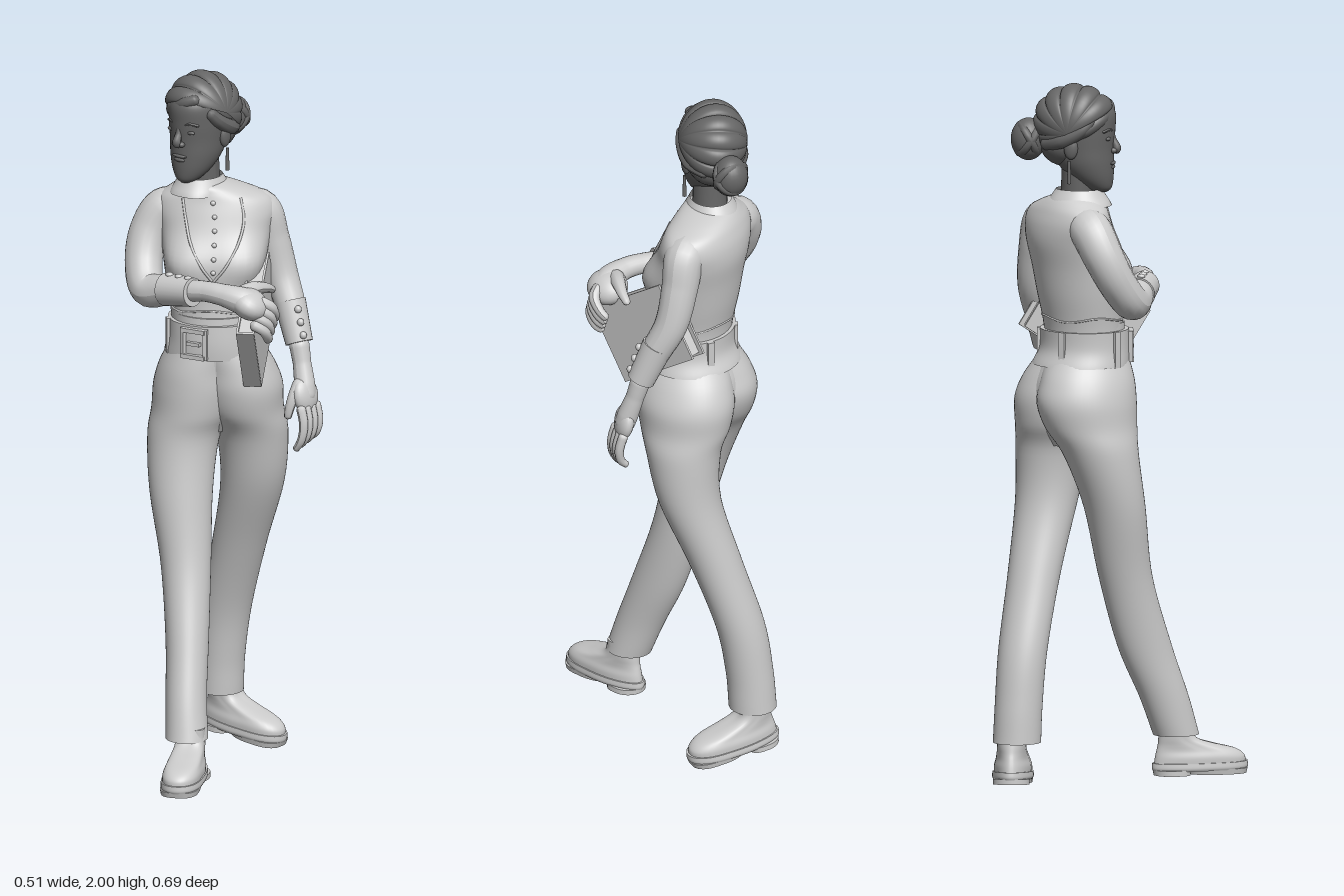
import * as THREE from 'three';

const V = (p) => new THREE.Vector3(...p);
const grey = new THREE.MeshStandardMaterial({ color: 0xcccccc, side: THREE.DoubleSide });
const dark = new THREE.MeshStandardMaterial({ color: 0x666666, side: THREE.DoubleSide });
const BODY_YAW = 0.66;

function add(parent, name, geometry, mat = grey) {
  const m = new THREE.Mesh(geometry, mat);
  m.name = name;
  parent.add(m);
  return m;
}

// Smooth stack of horizontal ellipses; each ring is [y, x, z, halfWidth, halfDepth]
function stack(rings, yaw = 0, bump = () => 0) {
  const c = new THREE.CatmullRomCurve3(rings.map((r) => V([r[1], r[0], r[2]])), false, 'catmullrom');
  const s = new THREE.CatmullRomCurve3(rings.map((r) => V([r[3], r[4], 0])), false, 'catmullrom');
  const left = V([Math.cos(yaw), 0, -Math.sin(yaw)]), front = V([Math.sin(yaw), 0, Math.cos(yaw)]);
  const at = (t, ang, off = 0, k = 1) => {
    const p = c.getPoint(t), r = s.getPoint(t), o = off + bump(p.y, ang);
    return p.addScaledVector(left, k * (r.x + o) * Math.cos(ang)).addScaledVector(front, k * (r.y + o) * Math.sin(ang));
  };
  const tOf = (y) => {
    let lo = 0, hi = 1;
    for (let i = 0; i < 24; i++) {
      const m = (lo + hi) / 2;
      if (c.getPoint(m).y < y) lo = m; else hi = m;
    }
    return lo;
  };
  const geometry = (y0 = -9, y1 = 9, off = 0, caps = true, seg = 48) => {
    const a = tOf(y0), b = tOf(y1), n = rings.length * 5, rows = [];
    if (caps) rows.push([a, 0], [a, 1]);
    for (let i = 0; i <= n; i++) rows.push([a + (b - a) * i / n, 1]);
    if (caps) rows.push([b, 1], [b, 0]);
    const pos = [], idx = [];
    rows.forEach(([t, k], i) => {
      for (let j = 0; j < seg; j++) {
        pos.push(...at(t, j / seg * Math.PI * 2, off, k).toArray());
        if (i === rows.length - 1) continue;
        const p = i * seg + j, q = i * seg + (j + 1) % seg;
        idx.push(p, p + seg, q, q, p + seg, q + seg);
      }
    });
    const g = new THREE.BufferGeometry();
    g.setAttribute('position', new THREE.Float32BufferAttribute(pos, 3));
    g.setIndex(idx);
    g.computeVertexNormals();
    return g;
  };
  return { geometry, on: (y, ang, off) => at(tOf(y), ang, off) };
}

// Tube of changing radius with rounded ends; each point is [x, y, z, radius]
function limb(points, radial = 20, steps = 8) {
  const path = new THREE.CatmullRomCurve3(points.map((p) => V(p.slice(0, 3))));
  const seg = points.length * steps, g = new THREE.TubeGeometry(path, seg, 1, radial), p = g.attributes.position;
  const len = path.getLength(), v = new THREE.Vector3();
  for (let i = 0; i <= seg; i++) {
    const u = i / seg, f = path.getUtoTmapping(u) * (points.length - 1);
    const k = Math.min(Math.floor(f), points.length - 2);
    let r = THREE.MathUtils.lerp(points[k][3], points[k + 1][3], f - k);
    const d = Math.min(Math.min(u, 1 - u) * len / (r * 0.9), 1);
    r *= Math.sqrt(Math.max(1 - (1 - d) ** 2, 0.0001));
    const o = path.getPointAt(u);
    for (let j = 0; j <= radial; j++) {
      const n = i * (radial + 1) + j;
      v.fromBufferAttribute(p, n).sub(o).multiplyScalar(r).add(o);
      p.setXYZ(n, v.x, v.y, v.z);
    }
  }
  g.computeVertexNormals();
  return g;
}
const tube = (pts, r) => new THREE.TubeGeometry(new THREE.CatmullRomCurve3(pts), 40, r, 6);

function ball(parent, name, p, s, mat = grey) {
  const m = add(parent, name, new THREE.SphereGeometry(1, 24, 16), mat);
  m.position.set(...p);
  m.scale.set(...s);
  return m;
}

// Cylinder between two points
function rod(parent, name, a, b, r0, r1, mat = grey) {
  const d = V(b).sub(V(a)), m = add(parent, name, new THREE.CylinderGeometry(r1, r0, d.length(), 24), mat);
  m.position.copy(V(a).addScaledVector(d, 0.5));
  m.quaternion.setFromUnitVectors(V([0, 1, 0]), d.normalize());
  return m;
}

function shoe(parent, name, p, yaw, pitch) {
  const g = new THREE.Group();
  g.name = name;
  // Broad round toe, narrower heel
  const outline = (y, a) => (Math.sin(a) > 0 ? 0.01 * Math.sin(2 * a) ** 2 : 0.006 * Math.sin(a));
  const layer = (part, rings) => add(g, part, stack(rings, 0, outline).geometry(-9, 9, 0, true, 48));
  layer('sole', [[0.012, 0, 0, 0.054, 0.14], [0.02, 0, 0, 0.057, 0.143], [0.034, 0, 0, 0.056, 0.142]]);
  layer('foreSole', [[0, 0, 0.05, 0.051, 0.086], [0.015, 0, 0.05, 0.054, 0.09]]);
  layer('heel', [[0, 0, -0.085, 0.05, 0.052], [0.015, 0, -0.085, 0.05, 0.053]]);
  layer('upper', [[0.03, 0, 0, 0.052, 0.137], [0.05, 0, -0.001, 0.052, 0.133], [0.068, 0, -0.012, 0.047, 0.118],
    [0.084, 0, -0.04, 0.043, 0.086], [0.1, 0, -0.064, 0.04, 0.06], [0.12, 0, -0.074, 0.039, 0.048], [0.15, 0, -0.075, 0.039, 0.046]]);
  g.position.set(...p);
  g.rotation.set(pitch, yaw, 0, 'YXZ');
  parent.add(g);
}

export function createModel() {
  const model = new THREE.Group();
  const gauss = (d, w) => Math.exp(-((d / w) ** 2));
  const pair = (a, mid, spread) => gauss(a - mid - spread, 0.5) + gauss(a - mid + spread, 0.5);

  // Trousers: each leg runs up to the belt and forms its half of the hips
  const hips = stack([[0.97, -0.033, -0.113, 0.03, 0.07], [1.03, -0.033, -0.113, 0.07, 0.106], [1.1, -0.033, -0.113, 0.13, 0.125],
    [1.15, -0.032, -0.11, 0.145, 0.126], [1.2, -0.027, -0.1, 0.134, 0.121], [1.25, -0.022, -0.09, 0.122, 0.112],
    [1.32, -0.025, -0.09, 0.12, 0.11]], BODY_YAW);
  add(model, 'trouserHips', hips.geometry());
  add(model, 'rightTrouserLeg', stack([[0.14, 0.077, 0.155, 0.06, 0.066], [0.25, 0.05, 0.125, 0.058, 0.072], [0.4, 0.012, 0.075, 0.061, 0.08],
    [0.6, -0.032, 0.028, 0.071, 0.077], [0.8, -0.07, 0.003, 0.089, 0.086], [0.95, -0.09, -0.032, 0.102, 0.107],
    [1.03, -0.083, -0.062, 0.115, 0.134], [1.1, -0.079, -0.075, 0.121, 0.146], [1.16, -0.07, -0.074, 0.111, 0.138],
    [1.22, -0.049, -0.077, 0.1, 0.12], [1.27, -0.038, -0.078, 0.085, 0.1]], BODY_YAW).geometry());
  add(model, 'leftTrouserLeg', stack([[0.14, -0.148, -0.262, 0.066, 0.068], [0.25, -0.14, -0.258, 0.067, 0.067], [0.4, -0.115, -0.25, 0.072, 0.068],
    [0.6, -0.05, -0.229, 0.077, 0.073], [0.8, 0.018, -0.204, 0.09, 0.087], [0.95, 0.031, -0.186, 0.102, 0.107],
    [1.03, 0.018, -0.162, 0.115, 0.134], [1.1, 0.014, -0.152, 0.121, 0.146], [1.16, 0.009, -0.138, 0.111, 0.138],
    [1.22, -0.001, -0.113, 0.1, 0.12], [1.27, -0.006, -0.1, 0.085, 0.1]], BODY_YAW).geometry());
  shoe(model, 'rightShoe', [0.122, 0.024, 0.212], 0.47, 0);
  shoe(model, 'leftShoe', [-0.088, 0.015, -0.284], 1.67, 0.1);

  // Belt with buckle and loops
  add(model, 'belt', hips.geometry(1.2, 1.3, 0.012));
  const onBelt = (name, ang, size) => {
    const p = hips.on(1.25, ang, 0.013), m = add(model, name, new THREE.BoxGeometry(...size));
    m.position.copy(p);
    m.rotation.y = Math.atan2(p.x + 0.022, p.z + 0.09);
    return m;
  };
  for (const dy of [-0.038, 0.038]) onBelt('buckleBar', 2.0, [0.072, 0.012, 0.022]).position.y += dy;
  for (const da of [-0.25, 0.25]) onBelt('buckleSide', 2.0 + da, [0.012, 0.088, 0.022]);
  onBelt('bucklePin', 2.0, [0.04, 0.01, 0.022]);
  for (const a of [0.6, 2.9, 4.2, 5.2]) onBelt('beltLoop', a, [0.02, 0.102, 0.012]);

  // Blouse and waistcoat
  const torso = stack([[1.26, -0.024, -0.09, 0.12, 0.108], [1.32, -0.03, -0.093, 0.122, 0.108], [1.4, -0.037, -0.102, 0.134, 0.113],
    [1.48, -0.042, -0.112, 0.146, 0.115], [1.55, -0.05, -0.125, 0.158, 0.112], [1.6, -0.054, -0.13, 0.168, 0.104],
    [1.638, -0.058, -0.128, 0.156, 0.092], [1.662, -0.066, -0.118, 0.115, 0.082], [1.68, -0.074, -0.105, 0.075, 0.07], [1.69, -0.077, -0.1, 0.05, 0.05]],
  BODY_YAW, (y, a) => 0.036 * gauss(y - 1.47, 0.07) * pair(a, Math.PI / 2, 0.6));
  add(model, 'blouse', torso.geometry());
  const mid = Math.PI / 2;
  for (const s of [-1, 1]) {
    add(model, 'waistcoatEdge', tube([[1.65, 0.62], [1.59, 0.5], [1.53, 0.4], [1.47, 0.2], [1.43, 0.02]]
      .map(([y, d]) => torso.on(y, mid + s * d, 0)), 0.004));
  }
  const hem = [];
  for (let i = 0; i <= 24; i++) hem.push(torso.on(1.335 + 0.006 * Math.cos(i), i / 24 * Math.PI * 2, 0));
  add(model, 'waistcoatHem', tube(hem, 0.003));
  for (let i = 0; i < 6; i++) ball(model, 'blouseButton', torso.on(1.64 - i * 0.037, mid, 0.002).toArray(), [0.007, 0.007, 0.007]);
  add(model, 'collar', stack([[1.655, -0.081, -0.098, 0.078, 0.088], [1.672, -0.081, -0.098, 0.073, 0.083], [1.702, -0.08, -0.096, 0.058, 0.065]],
    0, (y, a) => 0.008 * gauss(y - 1.65, 0.02) * pair(a, mid, 0.5)).geometry(-9, 9, 0, false));

  // Right arm folded across the body
  add(model, 'rightSleeve', limb([[-0.1, 1.6, -0.1, 0.048], [-0.172, 1.594, -0.05, 0.06], [-0.198, 1.53, -0.012, 0.057], [-0.186, 1.45, 0.028, 0.053],
    [-0.14, 1.39, 0.063, 0.05], [-0.06, 1.405, 0.07, 0.043], [0.02, 1.414, 0.073, 0.037]]));
  rod(model, 'rightCuff', [-0.07, 1.404, 0.07], [0.033, 1.416, 0.074], 0.047, 0.041);
  for (let i = 0; i < 3; i++) ball(model, 'rightCuffButton', [-0.052 + i * 0.034, 1.452 + i * 0.001, 0.076], [0.011, 0.007, 0.011]);
  add(model, 'rightWrist', limb([[0, 1.414, 0.072, 0.032], [0.07, 1.424, 0.065, 0.029], [0.125, 1.422, 0.055, 0.031], [0.175, 1.41, 0.034, 0.039], [0.212, 1.39, 0, 0.038]]));
  ball(model, 'rightPalm', [0.188, 1.398, 0.014], [0.056, 0.042, 0.062]).rotation.set(0, 0.5, -0.5);
  for (let i = 0; i < 4; i++) {
    add(model, 'rightFinger', limb([[0.212, 1.412 - 0.02 * i, 0.008 + 0.01 * i, 0.017], [0.238, 1.392 - 0.021 * i, -0.018 + 0.01 * i, 0.0155],
      [0.232, 1.362 - 0.021 * i, -0.045 + 0.01 * i, 0.0135], [0.213, 1.338 - 0.017 * i, -0.064 + 0.01 * i, 0.011]], 10, 5));
  }
  add(model, 'rightThumb', limb([[0.16, 1.42, 0.03, 0.026], [0.17, 1.43, -0.03, 0.02], [0.174, 1.422, -0.075, 0.015], [0.17, 1.405, -0.115, 0.01]], 10, 5));

  // Left arm hanging
  add(model, 'leftSleeve', limb([[-0.02, 1.6, -0.165, 0.048], [0.035, 1.594, -0.213, 0.058], [0.058, 1.51, -0.236, 0.052], [0.088, 1.4, -0.248, 0.047],
    [0.138, 1.3, -0.236, 0.042], [0.17, 1.22, -0.226, 0.036]]));
  rod(model, 'leftCuff', [0.124, 1.335, -0.24], [0.17, 1.225, -0.226], 0.045, 0.039);
  for (let i = 0; i < 3; i++) ball(model, 'leftCuffButton', [0.173 + i * 0.012, 1.325 - i * 0.035, -0.217 + i * 0.003], [0.01, 0.011, 0.01]);
  add(model, 'leftWrist', limb([[0.165, 1.24, -0.227, 0.03], [0.185, 1.17, -0.22, 0.026], [0.203, 1.11, -0.21, 0.03], [0.215, 1.06, -0.2, 0.028]]));
  ball(model, 'leftPalm', [0.212, 1.085, -0.203], [0.024, 0.052, 0.046]).rotation.z = 0.2;
  for (let i = 0; i < 4; i++) {
    const z = -0.168 - 0.022 * i;
    add(model, 'leftFinger', limb([[0.222, 1.065, z, 0.014], [0.236, 1.01, z + 0.002, 0.013], [0.23, 0.965 + 0.004 * i, z + 0.006, 0.012],
      [0.208, 0.93 + 0.008 * i, z + 0.008, 0.009]], 10, 5));
  }
  add(model, 'leftThumb', limb([[0.2, 1.13, -0.2, 0.02], [0.198, 1.085, -0.167, 0.016], [0.193, 1.05, -0.155, 0.013], [0.188, 1.02, -0.152, 0.01]], 10, 5));

  // Binder held against the left side
  const binder = new THREE.Group();
  binder.name = 'binder';
  const u = V([-0.415, 0.55, -0.72]).normalize(), d = V([-0.275, -0.83, -0.475]).normalize();
  const n = u.clone().cross(d).normalize();
  binder.quaternion.setFromRotationMatrix(new THREE.Matrix4().makeBasis(u, n.clone().cross(u), n));
  binder.position.set(0.11, 1.31, -0.11);
  for (const s of [-1, 1]) add(binder, 'binderCover', new THREE.BoxGeometry(0.3, 0.23, 0.006)).position.z = s * 0.023;
  add(binder, 'binderPages', new THREE.BoxGeometry(0.28, 0.215, 0.042)).position.x = -0.004;
  add(binder, 'binderSpine', new THREE.BoxGeometry(0.008, 0.23, 0.05)).position.x = -0.148;
  model.add(binder);

  // Head and face
  add(model, 'neck', limb([[-0.075, 1.6, -0.11, 0.052], [-0.077, 1.69, -0.1, 0.049], [-0.08, 1.8, -0.095, 0.049]]), dark);
  add(model, 'face', stack([[1.694, -0.08, -0.032, 0.014, 0.016], [1.706, -0.08, -0.042, 0.034, 0.038], [1.735, -0.08, -0.06, 0.055, 0.061],
    [1.775, -0.08, -0.078, 0.07, 0.08], [1.82, -0.08, -0.088, 0.076, 0.09], [1.87, -0.08, -0.096, 0.081, 0.102],
    [1.92, -0.08, -0.1, 0.08, 0.106], [1.96, -0.08, -0.1, 0.06, 0.08]]).geometry(), dark);
  add(model, 'nose', limb([[-0.08, 1.862, -0.005, 0.008], [-0.08, 1.84, 0.001, 0.01], [-0.08, 1.817, 0.01, 0.013], [-0.08, 1.806, 0, 0.012]], 12), dark);
  for (const s of [-1, 1]) ball(model, 'nostril', [-0.08 + s * 0.012, 1.812, 0.003], [0.009, 0.008, 0.01], dark);
  ball(model, 'upperLip', [-0.08, 1.776, -0.003], [0.025, 0.006, 0.01], dark);
  ball(model, 'lowerLip', [-0.08, 1.765, -0.004], [0.02, 0.007, 0.01], dark);
  for (const s of [-1, 1]) {
    const x = -0.08 + s * 0.034;
    ball(model, 'eye', [x, 1.848, -0.009], [0.014, 0.006, 0.007], dark);
    add(model, 'eyebrow', limb([[-0.08 + s * 0.016, 1.868, 0, 0.004], [x, 1.874, -0.006, 0.005], [-0.08 + s * 0.056, 1.868, -0.021, 0.004]], 8), dark);
    ball(model, 'ear', [-0.08 + s * 0.078, 1.825, -0.108], [0.012, 0.032, 0.02], dark);
    rod(model, 'earring', [-0.08 + s * 0.083, 1.725, -0.112], [-0.08 + s * 0.083, 1.79, -0.112], 0.006, 0.004, dark);
  }

  // Hair in rolled locks running over the crown, with a swept fringe and a bun
  const locks = new THREE.SphereGeometry(1, 112, 24, 2.0, 3.4);
  const pos = locks.attributes.position, uv = locks.attributes.uv;
  locks.rotateZ(Math.PI / 2);
  for (let i = 0; i < pos.count; i++) {
    const f = 0.9 + 0.1 * Math.sqrt(Math.abs(Math.sin(uv.getX(i) * Math.PI * 7)));
    pos.setXYZ(i, pos.getX(i) * 0.098, pos.getY(i) * f * 0.117, pos.getZ(i) * f * 0.124);
  }
  locks.computeVertexNormals();
  const hair = add(model, 'hair', locks, dark);
  hair.position.set(-0.081, 1.883, -0.105);
  hair.rotation.set(0, -0.12, 0.16);
  add(model, 'fringe', limb([[-0.03, 1.945, -0.03, 0.014], [-0.07, 1.93, -0.015, 0.019], [-0.122, 1.905, -0.03, 0.021],
    [-0.15, 1.878, -0.065, 0.02], [-0.156, 1.855, -0.11, 0.017]], 12), dark);
  ball(model, 'napeHair', [-0.08, 1.83, -0.135], [0.078, 0.065, 0.072], dark);
  for (const s of [-1, 1]) {
    add(model, 'sideLock', limb([[-0.08 + s * 0.066, 1.91, -0.045, 0.016], [-0.08 + s * 0.078, 1.875, -0.08, 0.02],
      [-0.08 + s * 0.075, 1.845, -0.135, 0.022], [-0.08 + s * 0.04, 1.83, -0.195, 0.018]], 12), dark);
  }
  ball(model, 'bun', [-0.09, 1.84, -0.238], [0.05, 0.06, 0.05], dark);
  for (const tilt of [-0.5, 0.6]) {
    const coil = add(model, 'bunCoil', new THREE.TorusGeometry(0.044, 0.013, 8, 28), dark);
    coil.position.set(-0.09, 1.84, -0.24);
    coil.rotation.set(tilt, 0.3, 0);
  }
  return model;
}
